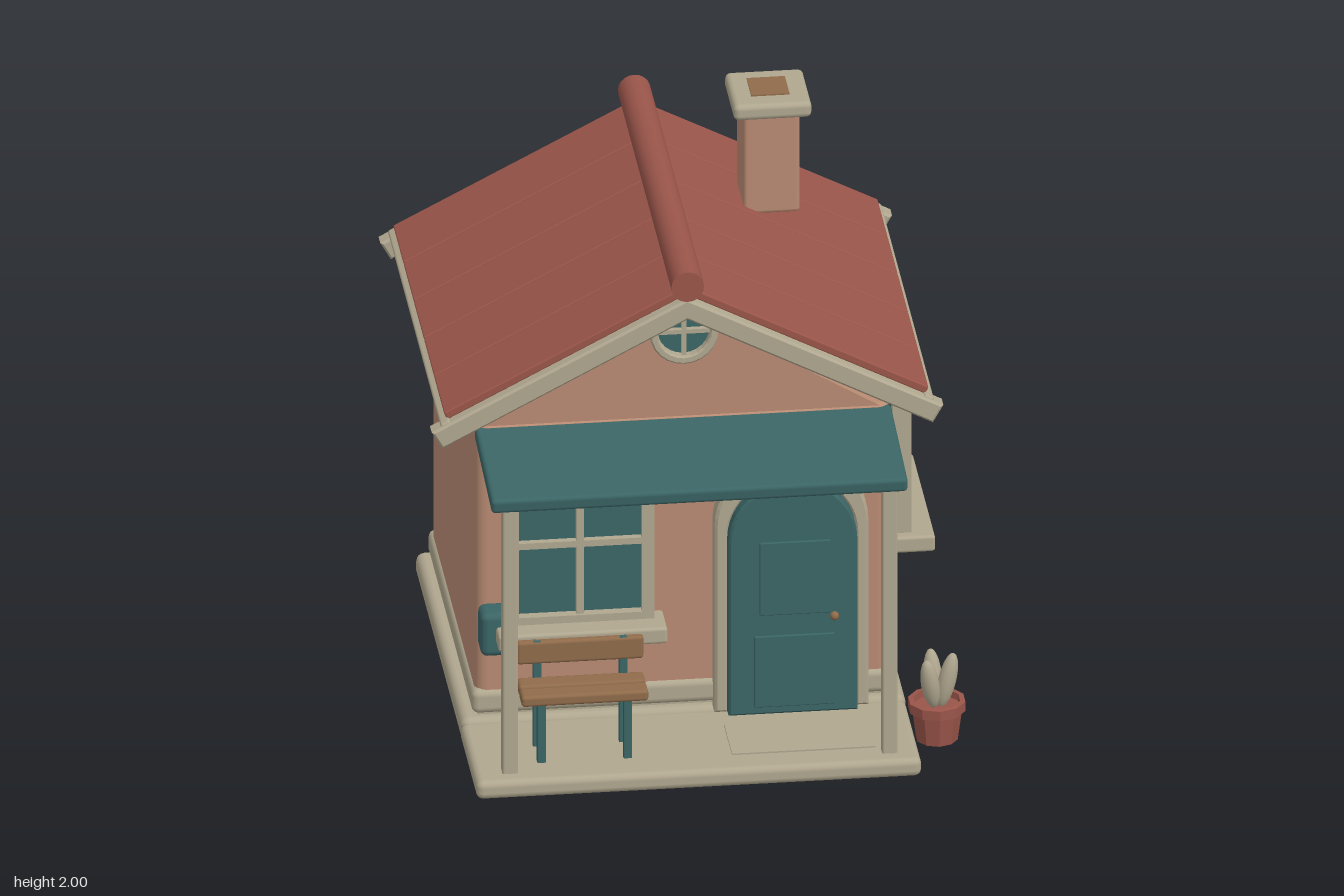
import * as THREE from 'three';
import { RoundedBoxGeometry } from 'three/addons/geometries/RoundedBoxGeometry.js';

const mat = (name, color) => Object.assign(new THREE.MeshStandardMaterial({ color }), { name });

export function createModel() {
  const root = new THREE.Group();
  root.name = 'cottage';
  const wallMat = mat('clay wall', 0xb98b73);
  const trim = mat('stone trim', 0xb0a78f);
  const roofMat = mat('red roof', 0x9a554a);
  const teal = mat('teal paint', 0x3b6566);
  const wood = mat('brown wood', 0x8f6b4a);
  const C = -0.037; // house centre line

  const add = (name, geo, material, parent = root) => {
    const m = new THREE.Mesh(geo, material);
    m.name = name;
    parent.add(m);
    return m;
  };
  const group = (name, parent = root) => {
    const g = new THREE.Group();
    g.name = name;
    parent.add(g);
    return g;
  };
  // box given by its min and max on each axis, with softened edges
  const box = (name, material, [x0, x1], [y0, y1], [z0, z1], r = 0.01, parent = root) => {
    const m = add(name, r ? new RoundedBoxGeometry(x1 - x0, y1 - y0, z1 - z0, 2, r)
      : new THREE.BoxGeometry(x1 - x0, y1 - y0, z1 - z0), material, parent);
    m.position.set((x0 + x1) / 2, (y0 + y1) / 2, (z0 + z1) / 2);
    return m;
  };
  const extrude = (shape, depth, curveSegments = 10, bevel = 0) =>
    new THREE.ExtrudeGeometry(shape, {
      depth: depth - 2 * bevel, curveSegments, bevelEnabled: bevel > 0,
      bevelSize: bevel, bevelThickness: bevel, bevelOffset: -bevel, bevelSegments: 1,
    }).translate(0, 0, bevel);
  const poly = pts => new THREE.Shape(pts.map(p => new THREE.Vector2(...p)));

  // Foundation, porch floor and skirting
  box('foundation', trim, [-0.812, 0.738], [0, 0.09], [-0.84, 0.49], 0.03);
  box('porchFloor', trim, [-0.812, 0.738], [0, 0.07], [0.465, 0.94], 0.025);
  box('skirting', trim, [-0.772, 0.7], [0.1, 0.19], [-0.81, 0.475], 0.025);
  box('skirtingBase', trim, [-0.75, 0.68], [0.07, 0.12], [-0.78, 0.45], 0);
  box('doormat', trim, [0.09, 0.59], [0.068, 0.076], [0.6, 0.83], 0);

  // Walls with rounded upright corners
  const hw = 0.722, hd = 0.625, r = 0.045;
  const plan = new THREE.Shape();
  plan.absarc(hw - r, hd - r, r, 0, Math.PI / 2);
  plan.absarc(r - hw, hd - r, r, Math.PI / 2, Math.PI);
  plan.absarc(r - hw, r - hd, r, Math.PI, Math.PI * 1.5);
  plan.absarc(hw - r, r - hd, r, Math.PI * 1.5, Math.PI * 2);
  add('walls', extrude(plan, 1.11, 6, 0.012).rotateX(-Math.PI / 2), wallMat).position.set(C, 0.1, -0.165);
  add('gable', extrude(poly([[-0.69, 0], [0.69, 0], [0, 0.415]]), 1.24), wallMat).position.set(C, 1.2, -0.785);

  // Roof slopes, each a slab with five raised panels
  const roof = group('roof');
  const ang = Math.atan(0.52), L = 0.845 / Math.cos(ang);
  for (const s of [-1, 1]) {
    const slope = group(s > 0 ? 'leftRoofSlope' : 'rightRoofSlope', roof);
    slope.position.set(C, 1.757, 0);
    slope.rotation.z = -s * ang;
    const span = (a, b) => (s > 0 ? [a, b] : [-b, -a]);
    box('roofSlab', roofMat, span(0, L - 0.005), [-0.055, -0.014], [-0.9, 0.56], 0, slope);
    for (let i = 0; i < 5; i++) {
      const z = -0.907 + i * 0.295;
      box('roofPanel', roofMat, span(0, L), [-0.03, 0], [z + 0.003, z + 0.292], 0.006, slope);
    }
    box('eaveBoard', trim, span(L - 0.008, L + 0.03), [-0.094, -0.02], [-0.93, 0.595], 0.01, slope);
  }
  // Chevron boards at both gable ends
  const ex = 0.889, ey = 0.926;
  const chevron = poly([[0, 1.725], [-ey + 0.035, 1.262], [-ex + 0.035, 1.197], [0, 1.645],
    [ex - 0.035, 1.197], [ey - 0.035, 1.262]]);
  for (const z of [0.54, -0.94]) add('bargeBoard', extrude(chevron, 0.065, 4, 0.008), trim, roof).position.set(C, 0, z);
  const ridge = add('ridgeRoll', new THREE.CylinderGeometry(0.057, 0.057, 1.545, 20).rotateX(Math.PI / 2), roofMat, roof);
  ridge.position.set(C, 1.773, -0.168);

  // Chimney
  const chimney = group('chimney');
  box('chimneyStack', wallMat, [0.273, 0.47], [1.56, 1.95], [-0.563, -0.352], 0.015, chimney);
  box('chimneyCap', trim, [0.236, 0.508], [1.935, 1.995], [-0.6, -0.322], 0.02, chimney);
  box('flue', wood, [0.305, 0.438], [1.991, 2], [-0.53, -0.395], 0, chimney);

  // Windows, built facing +z with the back of the frame at z = 0
  function makeWindow(name, w, h) {
    const g = group(name), b = 0.043, mid = h * 0.555;
    const frame = poly([[-w / 2, 0], [w / 2, 0], [w / 2, h], [-w / 2, h]]);
    frame.holes.push(poly([[b - w / 2, 0.03], [b - w / 2, h - b], [w / 2 - b, h - b], [w / 2 - b, 0.03]]));
    add('windowFrame', extrude(frame, 0.065), trim, g);
    box('glass', teal, [b - w / 2, w / 2 - b], [0.02, h - b], [0.012, 0.03], 0, g);
    box('uprightBar', trim, [-0.013, 0.013], [0.02, h - b], [0.025, 0.055], 0, g);
    box('crossBar', trim, [b - w / 2, w / 2 - b], [mid - 0.012, mid + 0.012], [0.025, 0.055], 0, g);
    box('windowSill', trim, [-w / 2 - 0.037, w / 2 + 0.037], [-0.06, 0.002], [-0.005, 0.145], 0.012, g);
    return g;
  }
  makeWindow('frontWindow', 0.515, 0.54).position.set(-0.408, 0.49, 0.52);
  const side = makeWindow('sideWindow', 0.575, 0.535);
  side.position.set(0.735, 0.535, -0.168);
  side.rotation.y = Math.PI / 2;

  // Round gable window
  const round = group('roundWindow');
  round.position.set(C, 1.548, 0.455);
  const ring = new THREE.Shape().absarc(0, 0, 0.12, 0, Math.PI * 2);
  ring.holes.push(new THREE.Path().absarc(0, 0, 0.09, 0, Math.PI * 2, true));
  add('roundFrame', extrude(ring, 0.055, 12, 0.006), trim, round);
  add('roundGlass', new THREE.CylinderGeometry(0.093, 0.093, 0.02, 20).rotateX(Math.PI / 2), teal, round).position.z = 0.012;
  box('roundUpright', trim, [-0.008, 0.008], [-0.092, 0.092], [0.02, 0.042], 0, round);
  box('roundCross', trim, [-0.092, 0.092], [-0.008, 0.008], [0.02, 0.042], 0, round);

  // Arched doorway and door
  const door = group('doorway');
  door.position.x = 0.334;
  const arch = new THREE.Shape();
  arch.moveTo(-0.268, 0.085);
  arch.lineTo(-0.268, 0.8);
  arch.absarc(0, 0.8, 0.268, Math.PI, 0, true);
  arch.lineTo(0.268, 0.085);
  arch.lineTo(0.222, 0.085);
  arch.lineTo(0.222, 0.755);
  arch.absarc(0, 0.755, 0.222, 0, Math.PI, false);
  arch.lineTo(-0.222, 0.085);
  add('doorFrame', extrude(arch, 0.08, 12, 0.01), trim, door).position.z = 0.45;
  const leaf = new THREE.Shape();
  leaf.moveTo(-0.224, 0.09);
  leaf.lineTo(0.224, 0.09);
  leaf.lineTo(0.224, 0.757);
  leaf.absarc(0, 0.757, 0.224, 0, Math.PI, false);
  add('doorLeaf', extrude(leaf, 0.115, 10, 0.008), teal, door).position.z = 0.457;
  box('upperDoorPanel', teal, [-0.117, 0.13], [0.475, 0.755], [0.565, 0.58], 0.004, door);
  box('lowerDoorPanel', teal, [-0.136, 0.143], [0.122, 0.395], [0.565, 0.58], 0.004, door);
  add('doorKnob', new THREE.SphereGeometry(0.016, 12, 8), wood, door).position.set(0.142, 0.467, 0.59);

  // Porch awning, posts and braces
  const awning = box('awning', teal, [-0.759, 0.691], [1.121, 1.175], [0.43, 0.93], 0.015);
  awning.rotation.x = 0.1;
  for (const x of [-0.688, 0.634]) {
    box('porchPost', trim, [x - 0.027, x + 0.027], [0.06, 1.12], [0.828, 0.882], 0.008);
    const brace = box('brace', wood, [x - 0.012, x + 0.012], [1.035, 1.06], [0.53, 0.79], 0.004);
    brace.rotation.x = -0.47;
  }

  // Letter box beside the window
  box('letterBox', teal, [-0.755, -0.62], [0.375, 0.54], [0.48, 0.59], 0.025);

  // Bench
  const bench = group('bench');
  for (const z of [0.67, 0.755]) box('seatSlat', wood, [-0.642, -0.2], [0.295, 0.336], [z, z + 0.075], 0.012, bench);
  box('backrest', wood, [-0.642, -0.2], [0.388, 0.475], [0.648, 0.686], 0.012, bench);
  for (const x of [-0.57, -0.27]) {
    box('frontLeg', teal, [x - 0.015, x + 0.015], [0.065, 0.31], [0.78, 0.81], 0.004, bench);
    box('rearLeg', teal, [x - 0.015, x + 0.015], [0.065, 0.475], [0.655, 0.682], 0.004, bench);
  }

  // Potted plant
  const plant = group('pottedPlant');
  plant.position.set(0.826, 0, 0.638);
  const profile = [[0, 0], [0.074, 0], [0.088, 0.108], [0.101, 0.112], [0.101, 0.148], [0.082, 0.15], [0.08, 0.125], [0, 0.125]];
  const potGeo = new THREE.LatheGeometry(profile.map(p => new THREE.Vector2(...p)), 10).toNonIndexed();
  potGeo.computeVertexNormals();
  add('pot', potGeo, roofMat, plant);
  for (const [x, z, h] of [[-0.01, -0.035, 0.1], [0.036, 0.0, 0.105], [-0.026, 0.025, 0.1]]) {
    const lobe = add('plantLobe', new THREE.SphereGeometry(1, 12, 10), trim, plant);
    lobe.scale.set(0.032, h, 0.032);
    lobe.position.set(x, 0.22, z);
    lobe.rotation.set(z * 6, 0, -x * 6);
  }
  return root;
}
